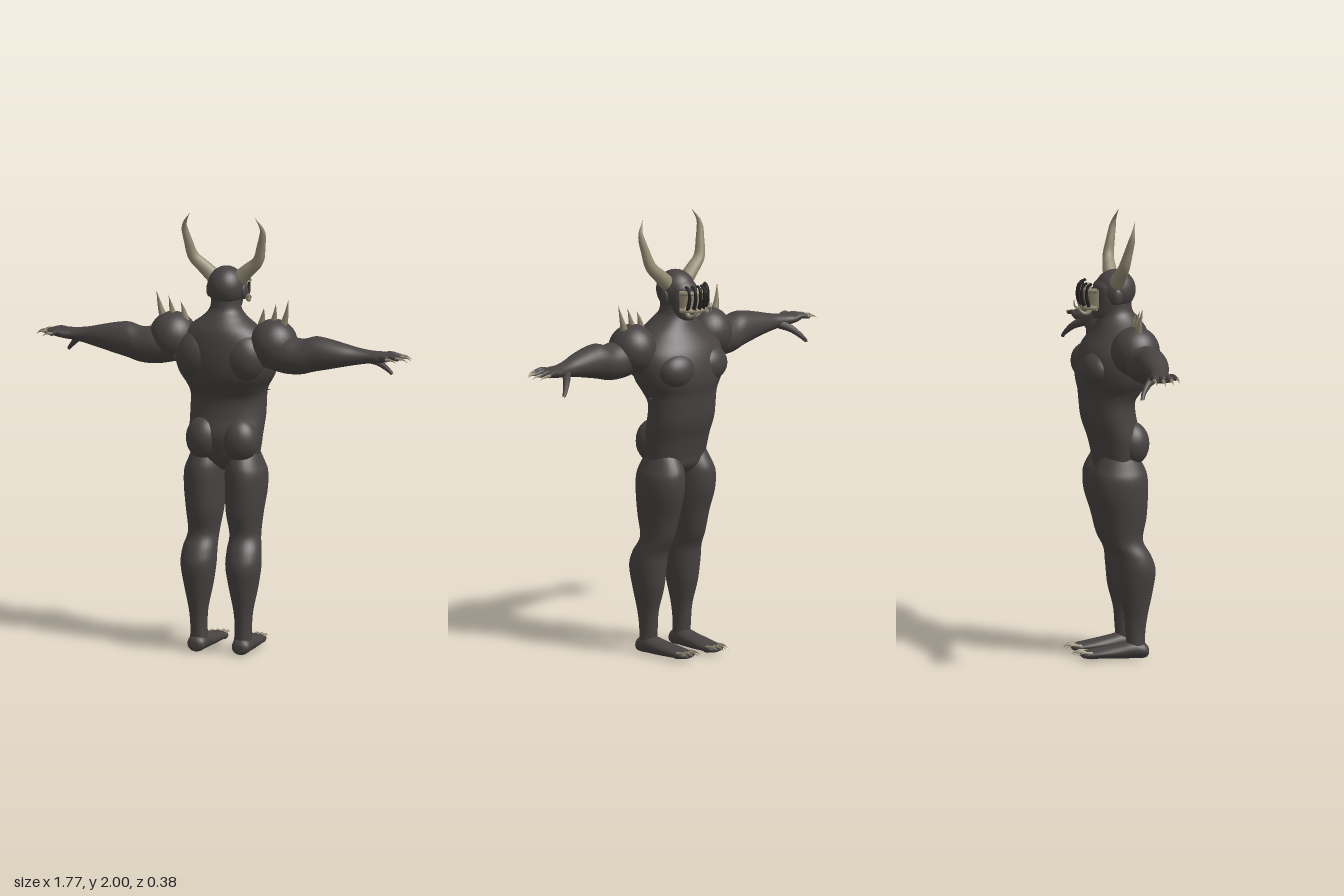
import * as THREE from 'three';

const V = (x, y, z) => new THREE.Vector3(x, y, z);

// Smooth closed skin through elliptical sections [t, a, b, ra, rb] along an axis.
function loft(axis, stations, sides = 28, steps = 5) {
  const rings = [];
  const n = stations.length;
  const at = (i) => stations[Math.max(0, Math.min(n - 1, i))];
  const blend = (p0, p1, p2, p3, u) => {
    const m1 = (p2 - p0) / 2, m2 = (p3 - p1) / 2;
    return p1 + u * m1 + u * u * (3 * (p2 - p1) - 2 * m1 - m2) + u * u * u * (2 * (p1 - p2) + m1 + m2);
  };
  for (let i = 0; i < n - 1; i++) {
    for (let s = 0; s < steps; s++) {
      rings.push(at(i).map((_, k) => blend(at(i - 1)[k], at(i)[k], at(i + 1)[k], at(i + 2)[k], s / steps)));
    }
  }
  rings.push(at(n - 1));
  const pos = [], idx = [];
  const put = (t, a, b) => pos.push(...(axis === 'y' ? [a, t, b] : axis === 'x' ? [t, a, b] : [a, b, t]));
  for (const [t, a, b, ra, rb] of rings) {
    for (let j = 0; j < sides; j++) {
      const w = (j / sides) * Math.PI * 2;
      put(t, a + ra * Math.cos(w), b + rb * Math.sin(w));
    }
  }
  const first = rings[0], last = rings[rings.length - 1], c0 = rings.length * sides;
  put(first[0], first[1], first[2]);
  put(last[0], last[1], last[2]);
  const tri = (a, b, c) => idx.push(a, ...(axis === 'y' ? [b, c] : [c, b]));
  for (let j = 0; j < sides; j++) {
    const k = (j + 1) % sides, top = (rings.length - 1) * sides;
    for (let i = 0; i < rings.length - 1; i++) {
      const p = i * sides, q = p + sides;
      tri(p + j, q + j, p + k);
      tri(p + k, q + j, q + k);
    }
    tri(c0, j, k);
    tri(c0 + 1, top + k, top + j);
  }
  const g = new THREE.BufferGeometry();
  g.setAttribute('position', new THREE.Float32BufferAttribute(pos, 3));
  g.setIndex(idx);
  g.computeVertexNormals();
  return g;
}

// Tube whose radius follows a rule from base (u = 0) to tip (u = 1).
function taper(points, radius, rule = (u) => 1 - u, seg = 14, sides = 10) {
  const curve = new THREE.CatmullRomCurve3(points);
  const g = new THREE.TubeGeometry(curve, seg, radius, sides);
  const p = g.attributes.position, v = V();
  for (let i = 0; i <= seg; i++) {
    const c = curve.getPointAt(i / seg), k = Math.max(0.02, rule(i / seg));
    for (let j = 0; j <= sides; j++) {
      const m = i * (sides + 1) + j;
      v.fromBufferAttribute(p, m).sub(c).multiplyScalar(k).add(c);
      p.setXYZ(m, v.x, v.y, v.z);
    }
  }
  return g;
}

const ball = (x, y, z, rx, ry, rz) => new THREE.SphereGeometry(1, 28, 20).scale(rx, ry, rz).translate(x, y, z);

// Copy to the other side of x, restoring the winding.
function mirrored(geo) {
  const g = geo.clone().scale(-1, 1, 1), ix = g.index;
  for (let i = 0; i < ix.count; i += 3) {
    const b = ix.getX(i + 1);
    ix.setX(i + 1, ix.getX(i + 2));
    ix.setX(i + 2, b);
  }
  return g;
}

export function createModel() {
  const model = new THREE.Group();
  const material = (name, color, extra = {}) => {
    const m = new THREE.MeshStandardMaterial({ color, ...extra });
    m.name = name;
    return m;
  };
  const skin = material('charcoal skin', 0x484242);
  const bone = material('old bone', 0x968d76, { side: THREE.DoubleSide });
  const dark = material('dark gaps', 0x262222);
  const add = (name, geo, mat) => {
    const m = new THREE.Mesh(geo, mat);
    m.name = name;
    model.add(m);
  };
  const pair = (name, geo, mat) => {
    add(name + 'Left', geo, mat);
    add(name + 'Right', mirrored(geo), mat);
  };

  // Torso, with chest and seat muscles
  add('torso', loft('y', [
    [0.83, 0, 0.02, 0.06, 0.05], [0.87, 0, 0.025, 0.145, 0.09], [0.92, 0, 0.03, 0.16, 0.105],
    [1.0, 0, 0.025, 0.17, 0.12], [1.08, 0, 0, 0.175, 0.122], [1.16, 0, -0.008, 0.176, 0.124],
    [1.21, 0, 0.005, 0.188, 0.142], [1.27, 0, 0.015, 0.222, 0.163], [1.34, 0, 0.022, 0.238, 0.165],
    [1.41, 0, 0.033, 0.228, 0.152], [1.48, 0, 0.05, 0.165, 0.122], [1.53, 0, 0.045, 0.1, 0.095],
    [1.57, 0, 0.035, 0.07, 0.073], [1.63, 0, 0.035, 0.065, 0.068]], 36), skin);
  pair('chestMuscle', ball(0.095, 1.325, -0.07, 0.105, 0.085, 0.078), skin);
  pair('shoulderBlade', ball(0.11, 1.36, 0.11, 0.1, 0.11, 0.078), skin);
  pair('buttock', ball(0.084, 0.975, 0.085, 0.083, 0.1, 0.08), skin);
  pair('ribSpike', taper([V(0.16, 1.2, 0.0), V(0.2, 1.196, 0.0)], 0.008), skin);

  // Legs and feet
  pair('leg', loft('y', [
    [0.03, 0.103, 0.1, 0.042, 0.04], [0.12, 0.105, 0.098, 0.038, 0.045], [0.2, 0.106, 0.1, 0.044, 0.054],
    [0.3, 0.106, 0.098, 0.064, 0.077], [0.4, 0.106, 0.1, 0.08, 0.089], [0.47, 0.104, 0.085, 0.078, 0.083],
    [0.54, 0.098, 0.05, 0.07, 0.083], [0.64, 0.094, 0.045, 0.083, 0.105], [0.74, 0.097, 0.033, 0.092, 0.123],
    [0.82, 0.096, 0.03, 0.093, 0.125], [0.87, 0.09, 0.03, 0.082, 0.112], [0.94, 0.085, 0.03, 0.06, 0.07]]), skin);
  pair('foot', loft('z', [
    [-0.145, 0.09, 0.024, 0.034, 0.01], [-0.125, 0.091, 0.025, 0.047, 0.018], [-0.06, 0.095, 0.03, 0.053, 0.025],
    [0.02, 0.1, 0.036, 0.05, 0.034], [0.09, 0.104, 0.043, 0.046, 0.041], [0.14, 0.105, 0.036, 0.04, 0.034],
    [0.157, 0.105, 0.032, 0.018, 0.018]], 24), skin);
  for (let i = 0; i < 4; i++) {
    const x = 0.055 + i * 0.024, z = -0.125 + 0.012 * Math.abs(i - 1.2);
    pair('toe' + i, ball(x, 0.024, z, 0.013, 0.015, 0.028), skin);
    pair('toeClaw' + i, taper([V(x, 0.032, z), V(x, 0.038, z - 0.04), V(x, 0.027, z - 0.072)], 0.01), bone);
  }

  // Arms and hands
  pair('shoulder', ball(0.238, 1.425, 0.066, 0.108, 0.112, 0.11), skin);
  pair('arm', loft('x', [
    [0.2, 1.39, 0.08, 0.07, 0.075], [0.3, 1.385, 0.085, 0.085, 0.085], [0.38, 1.382, 0.087, 0.08, 0.082],
    [0.44, 1.398, 0.087, 0.08, 0.074], [0.5, 1.402, 0.087, 0.07, 0.068], [0.57, 1.402, 0.083, 0.054, 0.058],
    [0.64, 1.4, 0.074, 0.038, 0.044], [0.7, 1.4, 0.066, 0.028, 0.042], [0.74, 1.401, 0.064, 0.025, 0.05],
    [0.78, 1.402, 0.067, 0.018, 0.05], [0.795, 1.402, 0.068, 0.009, 0.042]]), skin);
  const blunt = (u) => 1 - 0.4 * u;
  [[0.024, 0.825, 0.875], [0.053, 0.84, 0.886], [0.083, 0.835, 0.88], [0.112, 0.80, 0.838]].forEach(([z, x, tip], i) => {
    const end = z + (z - 0.06) * 0.25;
    pair('finger' + i, taper([V(0.74, 1.402, z), V((0.74 + x) / 2, 1.41, z), V(x, 1.401, end)], 0.015, blunt), skin);
    pair('fingerClaw' + i, taper([V(x - 0.012, 1.404, end), V((x + tip) / 2, 1.403, end), V(tip, 1.39, end)], 0.009), bone);
  });
  pair('thumb', taper([V(0.67, 1.39, 0.05), V(0.71, 1.365, 0.01), V(0.745, 1.33, -0.018), V(0.765, 1.307, -0.028)],
    0.022, (u) => 1 - 0.65 * u), skin);
  pair('thumbClaw', taper([V(0.755, 1.318, -0.024), V(0.77, 1.302, -0.036)], 0.008), bone);

  // Shoulder spikes
  [[0.28, 0.312, 1.632], [0.232, 0.254, 1.612], [0.18, 0.197, 1.588]].forEach(([x, tx, ty], i) => {
    pair('shoulderSpike' + i, taper([V(x, 1.5, 0.068), V((x + tx) / 2 + 0.002, 1.56, 0.072), V(tx, ty, 0.082)], 0.02), bone);
  });

  // Head
  add('skull', ball(0, 1.664, 0.03, 0.084, 0.092, 0.093), skin);
  add('face', loft('y', [
    [1.538, 0, -0.045, 0.022, 0.022], [1.555, 0, -0.035, 0.046, 0.04], [1.6, 0, -0.018, 0.062, 0.055],
    [1.65, 0, -0.012, 0.07, 0.058], [1.69, 0, -0.01, 0.066, 0.058], [1.72, 0, 0, 0.045, 0.04]]), skin);
  add('nose', ball(0, 1.63, -0.07, 0.014, 0.024, 0.018), skin);
  pair('ear', ball(0.082, 1.643, 0.022, 0.012, 0.035, 0.024), skin);
  pair('eye', ball(0.03, 1.665, -0.06, 0.014, 0.009, 0.012), dark);

  // Horns
  pair('horn', taper([V(0.045, 1.69, 0.025), V(0.1, 1.74, 0.028), V(0.152, 1.79, 0.035), V(0.172, 1.86, 0.05),
    V(0.184, 1.94, 0.068), V(0.155, 1.998, 0.084)], 0.036, (u) => (1 - u * u * 0.4) * (u < 0.75 ? 1 - 0.6 * u : 2.2 * (1 - u)), 24, 12), bone);

  // Jaw mask: bone shell, dark bars and tusks
  add('maskShell', new THREE.CylinderGeometry(0.072, 0.066, 0.085, 20, 1, true, Math.PI * 0.55, Math.PI * 0.9)
    .translate(0, 1.635, -0.05), bone);
  [1.595, 1.675].forEach((y, i) => {
    const arc = [-0.074, -0.05, 0, 0.05, 0.074].map((x, k) => V(x, y, [-0.07, -0.11, -0.128, -0.11, -0.07][k]));
    add('maskRim' + i, taper(arc, 0.011, () => 1, 20), bone);
  });
  [0.012, 0.036, 0.058].forEach((x, i) => {
    const z = -0.13 + x * x * 8;
    pair('maskBar' + i, taper([V(x, 1.6, z), V(x, 1.65, z - 0.012), V(x, 1.695, z - 0.004), V(x, 1.705, z + 0.012)],
      0.009, (u) => 1 - 0.3 * u, 10, 8), dark);
  });
  pair('tusk', taper([V(0.055, 1.605, -0.085), V(0.058, 1.572, -0.115), V(0.05, 1.585, -0.142), V(0.046, 1.625, -0.148)], 0.014), bone);

  return model;
}
